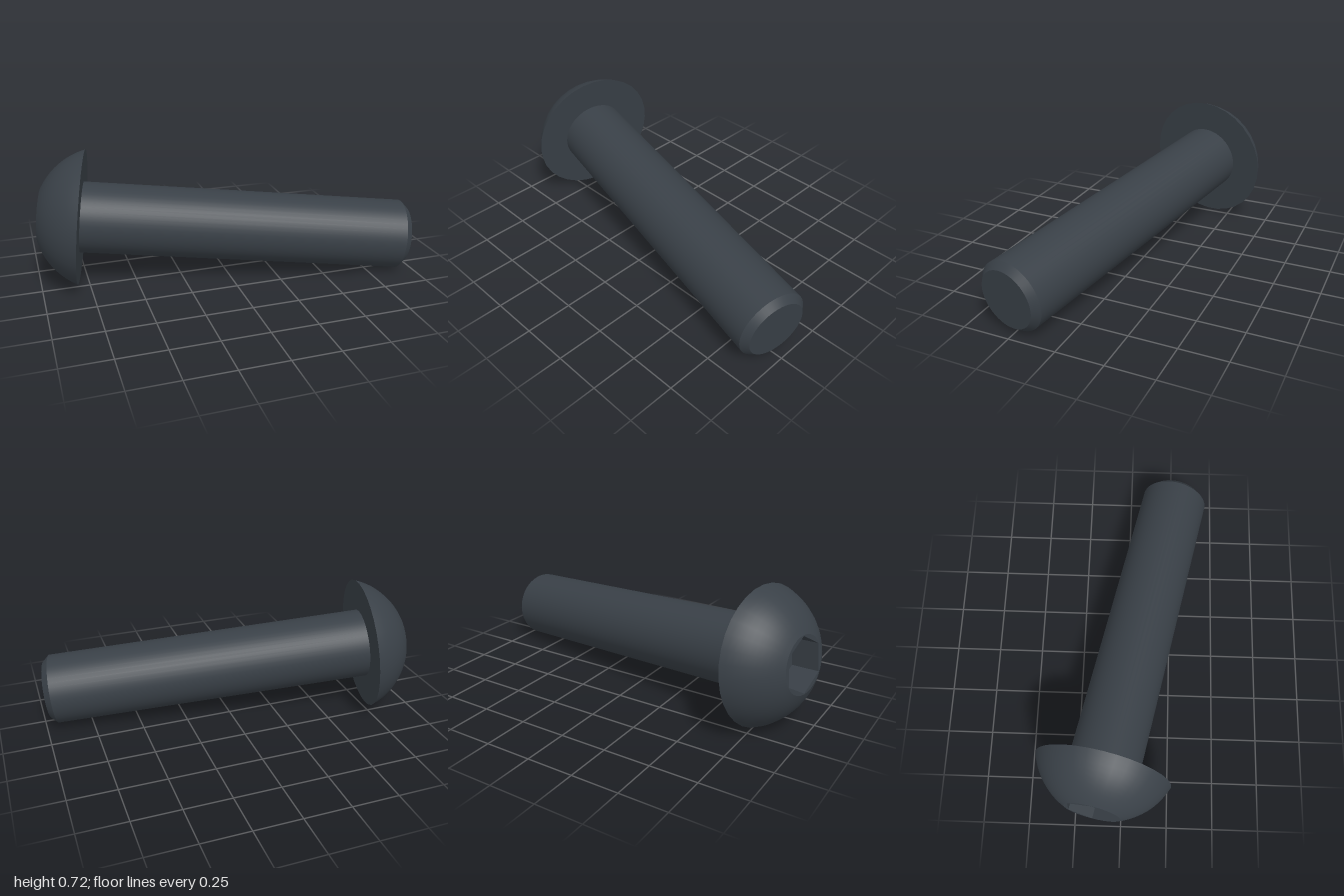
import * as THREE from 'three';

export function createModel() {
  const model = new THREE.Group();
  model.name = 'buttonHeadBolt';
  const steel = new THREE.MeshStandardMaterial({ color: 0x394047 });
  steel.name = 'dark steel';

  const HEAD_R = 0.36, SHAFT_R = 0.189, TIP_R = 0.157, MOUTH_R = 0.148, HEX_R = 0.144;
  const LENGTH = 1.768, BEVEL = 0.035, DEPTH = 0.15;
  const DOME_R = 0.384, DOME_Y = -0.134; // dome is part of a sphere centred below the rim
  const topY = Math.sqrt(DOME_R ** 2 - MOUTH_R ** 2) + DOME_Y;

  // The bolt is built along y, head up, with the rim of the head at y = 0
  const bolt = new THREE.Group();
  bolt.name = 'bolt';
  const add = (name, geometry) => {
    const mesh = new THREE.Mesh(geometry, steel);
    mesh.name = name;
    bolt.add(mesh);
    return mesh;
  };

  // Domed head
  const a0 = Math.asin(-DOME_Y / DOME_R), a1 = Math.acos(MOUTH_R / DOME_R);
  const profile = [];
  for (let i = 0; i <= 10; i++) {
    const a = a0 + (a1 - a0) * i / 10;
    profile.push(new THREE.Vector2(DOME_R * Math.cos(a), DOME_R * Math.sin(a) + DOME_Y));
  }
  add('headDome', new THREE.LatheGeometry(profile, 32));
  add('headUnderside', new THREE.RingGeometry(SHAFT_R - 0.01, HEAD_R, 32)
    .rotateX(Math.PI / 2).rotateY(Math.PI / 2));

  // Flat face around the hexagonal socket
  const face = new THREE.Shape().absarc(0, 0, MOUTH_R, 0, Math.PI * 2);
  const hex = new THREE.Path();
  for (let i = 0; i < 6; i++) {
    const a = Math.PI / 2 - i * Math.PI / 3;
    hex[i ? 'lineTo' : 'moveTo'](HEX_R * Math.cos(a), HEX_R * Math.sin(a));
  }
  hex.closePath();
  face.holes.push(hex);
  add('headFace', new THREE.ShapeGeometry(face, 16).rotateX(-Math.PI / 2)).position.y = topY;

  // Socket walls, turned inside out, and floor
  const walls = new THREE.CylinderGeometry(HEX_R, HEX_R, DEPTH, 6, 1, true).toNonIndexed();
  walls.scale(-1, 1, 1); // mirroring reverses the winding so the walls face inwards
  walls.computeVertexNormals();
  add('socketWalls', walls).position.y = topY - DEPTH / 2;
  add('socketFloor', new THREE.CircleGeometry(HEX_R, 6, Math.PI / 2)
    .rotateX(-Math.PI / 2)).position.y = topY - DEPTH;

  // Plain shaft, bevelled tip and end face
  const shaftLength = LENGTH - BEVEL;
  add('shaft', new THREE.CylinderGeometry(SHAFT_R, SHAFT_R, shaftLength, 48, 1, true))
    .position.y = -shaftLength / 2;
  add('tipBevel', new THREE.CylinderGeometry(SHAFT_R, TIP_R, BEVEL, 48, 1, true))
    .position.y = -LENGTH + BEVEL / 2;
  add('tipFace', new THREE.CircleGeometry(TIP_R, 48).rotateX(Math.PI / 2))
    .position.y = -LENGTH;

  // Lay the bolt down: head to the right and raised, socket corner upwards
  const axis = new THREE.Vector3(-0.9734, 0.0973, -0.2076).normalize();
  const up = new THREE.Vector3(0, 1, 0).addScaledVector(axis, -axis.y).normalize();
  const side = new THREE.Vector3().crossVectors(axis, up);
  bolt.quaternion.setFromRotationMatrix(new THREE.Matrix4().makeBasis(side, axis, up));
  bolt.position.set(-0.756, 0.359, -0.097);
  model.add(bolt);
  return model;
}
